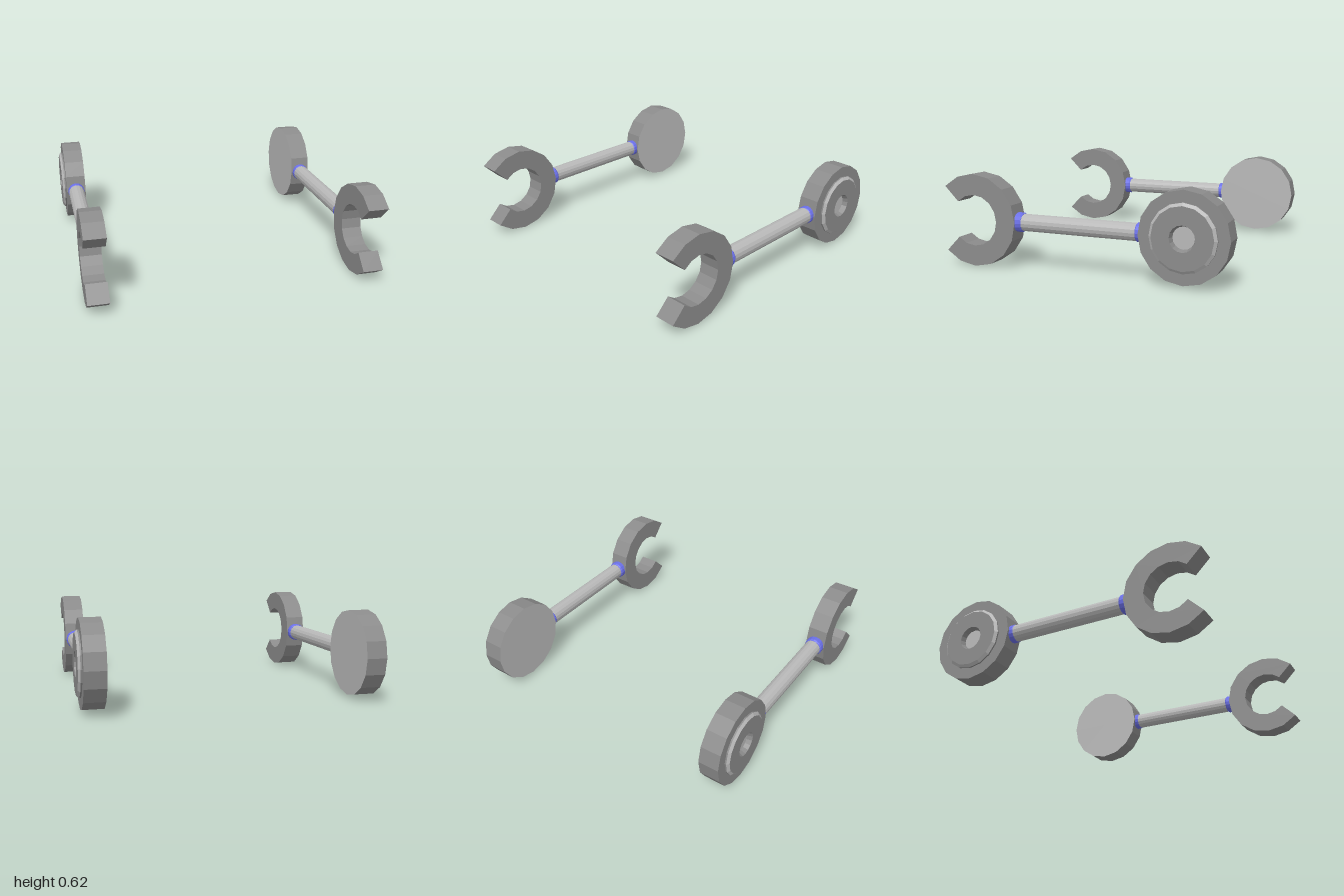
import * as THREE from 'three';

const paint = (color) => new THREE.MeshStandardMaterial({ color, flatShading: true });
const darkGrey = paint(0x8b8b8b);
const lightGrey = paint(0xb8b8b8);
const blue = paint(0x6b70e8);
const AXIS_Y = 0.308;
const HALF_WIDTH = 0.07;

function lathe(name, points, material) {
  const profile = points.map(([r, h]) => new THREE.Vector2(r, h));
  const mesh = new THREE.Mesh(new THREE.LatheGeometry(profile, 16), material);
  mesh.name = name;
  return mesh;
}

// Open C-shaped ring: a 16-sided ring with four segments missing at the front
function clawGeometry() {
  const corner = (r, i) => {
    const a = Math.PI / 4 + i * Math.PI / 8;
    return new THREE.Vector2(r * Math.cos(a), r * Math.sin(a));
  };
  const points = [];
  for (let i = 0; i <= 12; i++) points.push(corner(0.308, i));
  for (let i = 12; i >= 0; i--) points.push(corner(0.17, i));
  const geo = new THREE.ExtrudeGeometry(new THREE.Shape(points), { depth: 2 * HALF_WIDTH, bevelEnabled: false });
  geo.translate(0, 0, -HALF_WIDTH);
  geo.rotateY(-Math.PI / 2); // opening towards +z
  return geo;
}

// Round hub: dark body and boss, with light inner face, chamfer and recess floor
function createHub(side) {
  const hub = new THREE.Group();
  hub.name = 'hub';
  hub.add(
    lathe('innerFace', [[0, -HALF_WIDTH], [0.29, -HALF_WIDTH]], lightGrey),
    lathe('hubBody', [[0.29, -HALF_WIDTH], [0.29, HALF_WIDTH], [0.215, HALF_WIDTH], [0.215, 0.08]], darkGrey),
    lathe('bossChamfer', [[0.215, 0.08], [0.197, 0.095]], lightGrey),
    lathe('bossFace', [[0.197, 0.095], [0.082, 0.095], [0.07, 0.06]], darkGrey),
    lathe('recessFloor', [[0.07, 0.06], [0, 0.06]], lightGrey),
  );
  hub.rotation.z = -side * Math.PI / 2;
  hub.position.z = -0.69;
  return hub;
}

// Bevelled collar running along z between two stations
function collar(name, z0, z1, r) {
  const b = 0.01;
  const mesh = lathe(name, [[0, z0], [r - 0.007, z0], [r, z0 + b], [r, z1 - b], [r - 0.007, z1], [0, z1]], blue);
  mesh.rotation.x = Math.PI / 2;
  return mesh;
}

function createArm(side) {
  const arm = new THREE.Group();
  arm.name = side > 0 ? 'leftArm' : 'rightArm';
  arm.position.set(side * 0.905, AXIS_Y, 0);

  // Open claw
  const claw = new THREE.Mesh(clawGeometry(), darkGrey);
  claw.name = 'claw';
  claw.position.z = 0.765;

  // Connecting rod
  const rod = new THREE.Mesh(new THREE.CylinderGeometry(0.057, 0.057, 0.85, 16), lightGrey);
  rod.name = 'rod';
  rod.rotation.x = Math.PI / 2;
  rod.position.z = 0.02;

  arm.add(createHub(side), claw, rod, collar('hubCollar', -0.42, -0.37, 0.061), collar('clawCollar', 0.42, 0.475, 0.065));
  return arm;
}

export function createModel() {
  const model = new THREE.Group();
  model.name = 'pairOfArms';
  for (const side of [-1, 1]) model.add(createArm(side));
  return model;
}
